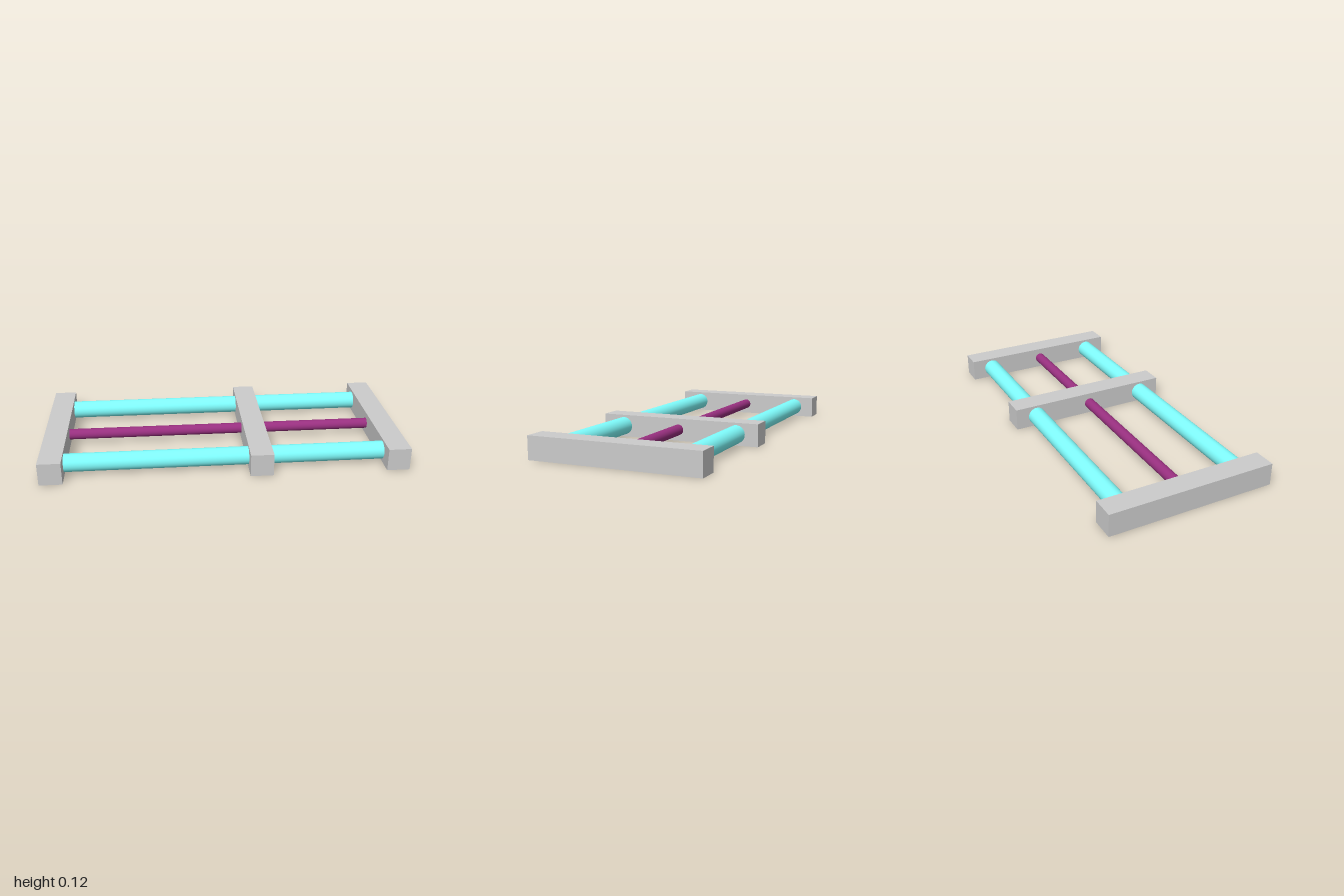
import * as THREE from 'three';

const BLOCK = 0.125, DEPTH = 0.9375, MID_Y = BLOCK / 2;

export function createModel() {
  const group = new THREE.Group();
  const grey = new THREE.MeshStandardMaterial({ color: 0xcccccc });
  const cyan = new THREE.MeshStandardMaterial({ color: 0x80ffff });
  const purple = new THREE.MeshStandardMaterial({ color: 0x993080 });

  const add = (name, geometry, material, x, z) => {
    const mesh = new THREE.Mesh(geometry, material);
    mesh.name = name;
    mesh.position.set(x, MID_Y, z);
    group.add(mesh);
  };

  // two end blocks and the sliding carriage between them
  const block = new THREE.BoxGeometry(BLOCK, BLOCK, DEPTH);
  add('rightEndBlock', block, grey, -1 + BLOCK / 2, 0);
  add('leftEndBlock', block, grey, 1 - BLOCK / 2, 0);
  add('carriage', block, grey, 0.1875, 0);

  // rods run between the inner faces of the end blocks
  const rod = (radius) =>
    new THREE.CylinderGeometry(radius, radius, 2 - 2 * BLOCK, 48).rotateZ(Math.PI / 2);
  const guide = rod(0.05);
  add('frontGuideRod', guide, cyan, 0, 0.344);
  add('backGuideRod', guide, cyan, 0, -0.344);
  add('leadScrew', rod(0.03), purple, 0, 0);

  return group;
}
